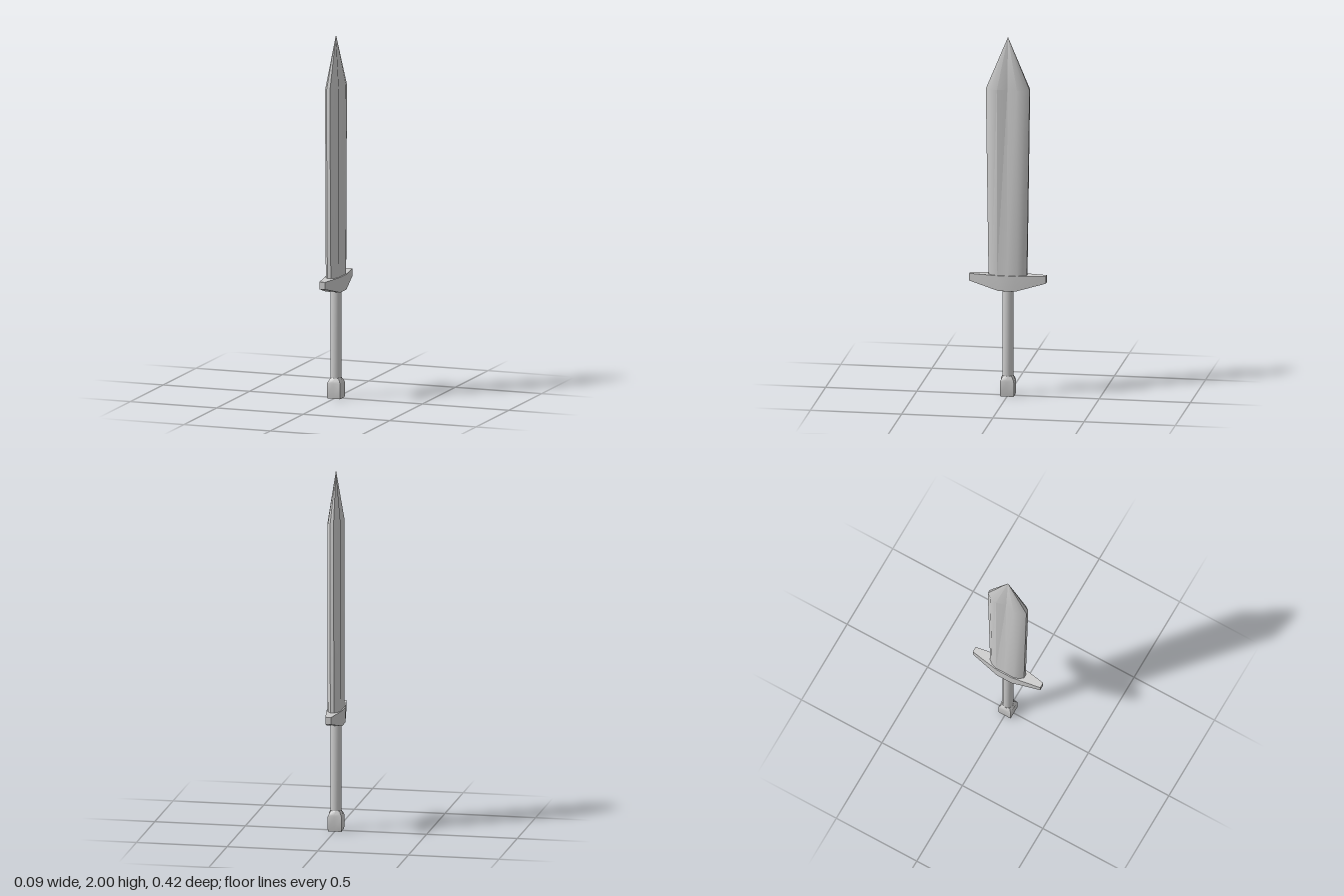
import * as THREE from 'three';
import { toCreasedNormals } from 'three/addons/utils/BufferGeometryUtils.js';

const material = new THREE.MeshStandardMaterial({ color: 0xcccccc });

// Skin rings of [x, y, z] points, listed bottom to top, and close both ends.
function loft(rings, crease) {
  const n = rings[0].length;
  const index = [];
  const positions = rings.flat(2);
  const centre = (ring) => [0, ring.reduce((s, p) => s + p[1], 0) / n, 0];
  positions.push(...centre(rings[0]), ...centre(rings[rings.length - 1]));
  const bottom = rings.length * n, top = bottom + 1, last = bottom - n;
  for (let i = 0; i < n; i++) {
    const j = (i + 1) % n;
    for (let r = 0; r < rings.length - 1; r++) {
      const a = r * n, b = a + n;
      index.push(a + i, a + j, b + j, a + i, b + j, b + i);
    }
    index.push(bottom, j, i, top, last + i, last + j);
  }
  const geometry = new THREE.BufferGeometry();
  geometry.setAttribute('position', new THREE.Float32BufferAttribute(positions, 3));
  geometry.setIndex(index);
  return toCreasedNormals(geometry, crease);
}

// Mirror one side of a section, given from +z to -z, across x = 0.
const section = (half, y) => [
  ...half.map(([x, z]) => [x, y, z]),
  ...half.map(([x, z]) => [-x, y, -z]),
];

// Blade section: narrow edges, bevelled cheeks, central groove.
function bladeSection(y, halfWidth, bevel, groove) {
  return section([
    [0.01, halfWidth], [0.027, bevel], [0.037, 0.055], [groove, 0],
    [0.037, -0.055], [0.027, -bevel], [0.01, -halfWidth],
  ], y);
}

// Square section whose corners can be pulled in.
const pommelSection = (y, m, c) =>
  section([[0, m], [c, c], [m, 0], [c, -c]], y);

export function createModel() {
  const group = new THREE.Group();
  const add = (name, geometry) => {
    const mesh = new THREE.Mesh(geometry, material);
    mesh.name = name;
    group.add(mesh);
    return mesh;
  };

  // Blade: the groove deepens towards the shoulder, then all runs to a point.
  const shoulder = bladeSection(1.71, 0.12, 0.096, 0.02);
  add('blade', loft([
    bladeSection(0.66, 0.105, 0.084, 0.036),
    shoulder,
    shoulder.map(() => [0, 2, 0]),
  ], 0.55));

  // Guard: flat top, underside rising to the tapered ends.
  const guardHalf = [[0.016, 0.21], [0.043, 0.045], [0.043, -0.045], [0.016, -0.21]];
  const guardTop = section(guardHalf, 0.675);
  const guardRim = guardTop.map(([x, , z]) => [x, Math.abs(z) > 0.1 ? 0.635 : 0.59, z]);
  const guardBase = guardTop.map(([x, , z]) => [Math.sign(x) * 0.043, 0.59, Math.sign(z) * 0.045]);
  add('guard', loft([guardBase, guardRim, guardTop], 0.2));

  // Grip
  const grip = add('grip', toCreasedNormals(new THREE.CylinderGeometry(0.029, 0.029, 0.52, 16), 0.7));
  grip.position.y = 0.35;

  // Pommel: a block with softened upper corners.
  add('pommel', loft([
    pommelSection(0, 0.036, 0.036),
    pommelSection(0.01, 0.038, 0.038),
    pommelSection(0.082, 0.038, 0.038),
    pommelSection(0.096, 0.038, 0.032),
    pommelSection(0.112, 0.031, 0.023),
  ], 0.6));

  return group;
}
